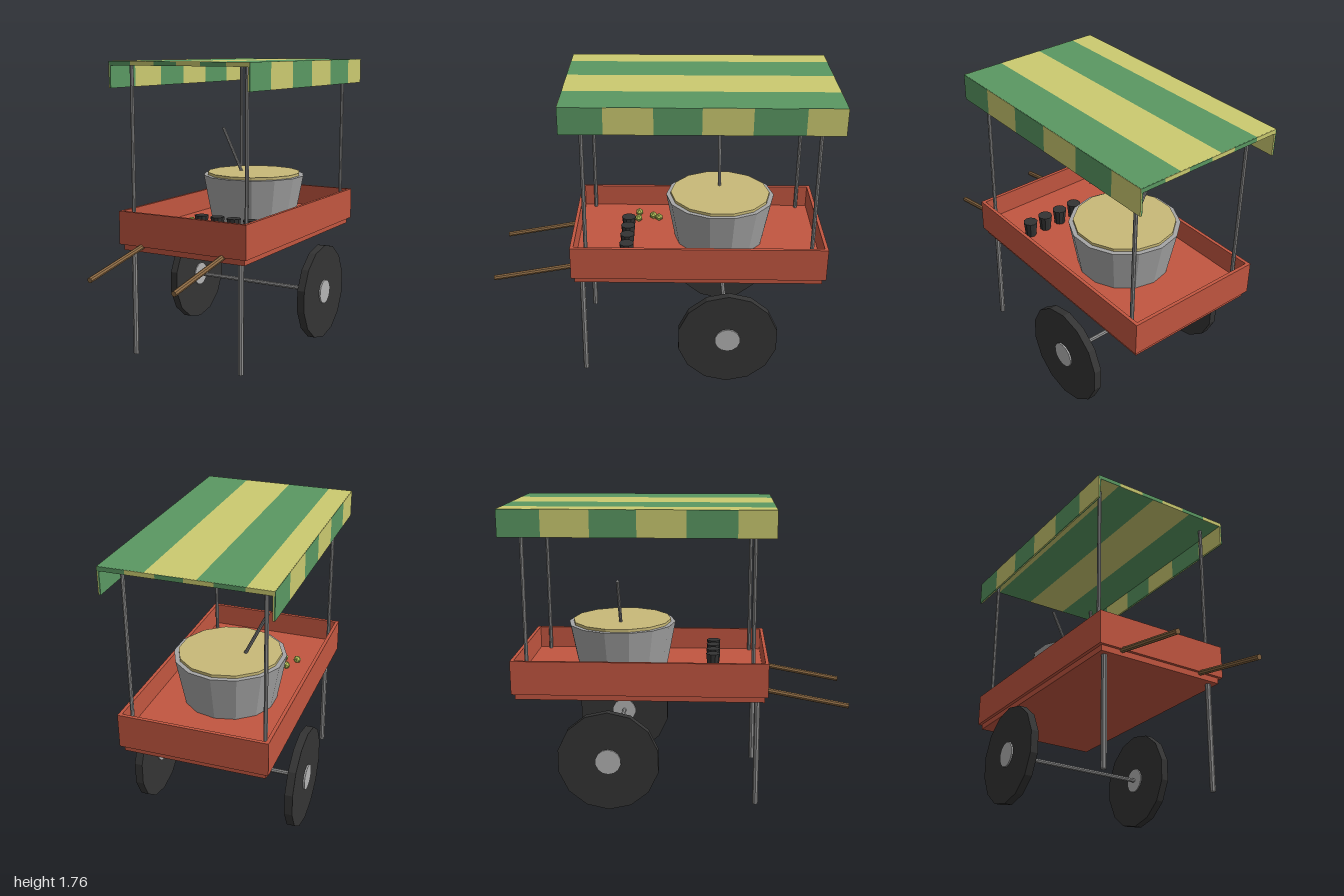
import * as THREE from 'three';

const mat = (name, color) => {
  const m = new THREE.MeshStandardMaterial({ color });
  m.name = name;
  m.flatShading = true;
  return m;
};

export function createModel() {
  const root = new THREE.Group();
  root.name = 'foodCart';

  const red = mat('red paint', 0xc25640);
  const green = mat('awning green', 0x5a9862);
  const yellow = mat('awning yellow', 0xcbca70);
  const steel = mat('steel', 0x919191);
  const potMetal = mat('pot metal', 0xa6a6a6);
  const hubMetal = mat('hub metal', 0xb4b4b4);
  const dark = mat('black rubber', 0x343434);
  const wood = mat('wood', 0x8c6a44);
  const lidColor = mat('lid straw', 0xc8b978);
  const lime = mat('lime', 0xb9c55c);

  const add = (name, geo, material, parent = root) => {
    const m = new THREE.Mesh(geo, material);
    m.name = name;
    parent.add(m);
    return m;
  };
  // Box given by its min and max corners
  const box = (name, material, [x0, y0, z0], [x1, y1, z1], parent) => {
    const g = new THREE.BoxGeometry(x1 - x0, y1 - y0, z1 - z0);
    g.translate((x0 + x1) / 2, (y0 + y1) / 2, (z0 + z1) / 2);
    return add(name, g, material, parent);
  };
  // Straight rod between two points
  const rod = (name, material, a, b, r, sides = 8) => {
    const p = new THREE.Vector3(...a), q = new THREE.Vector3(...b);
    const dir = q.clone().sub(p);
    const m = add(name, new THREE.CylinderGeometry(r, r, dir.length(), sides), material);
    m.position.copy(p).add(q).multiplyScalar(0.5);
    m.quaternion.setFromUnitVectors(new THREE.Vector3(0, 1, 0), dir.normalize());
    return m;
  };

  // Tray: floor slab and four walls
  box('trayFloor', red, [-0.408, 0.65, -0.953], [0.408, 0.75, 0.498]);
  for (const s of [-1, 1]) {
    const xs = [s * 0.408, s * 0.428].sort((a, b) => a - b);
    box('traySideWall', red, [xs[0], 0.685, -0.972], [xs[1], 0.885, 0.516]);
  }
  box('trayFrontWall', red, [-0.408, 0.685, 0.496], [0.408, 0.885, 0.516]);
  box('trayBackWall', red, [-0.408, 0.685, -0.972], [0.408, 0.885, -0.952]);

  // Canopy top with lengthwise stripes
  const canopy = new THREE.Group();
  canopy.name = 'canopy';
  root.add(canopy);
  const topX = [-0.46, -0.32, -0.067, 0.208, 0.46];
  for (let i = 0; i < 4; i++) {
    box('canopyStripe', i % 2 ? green : yellow,
      [topX[i], 1.735, -0.997], [topX[i + 1], 1.76, 0.539], canopy);
  }
  // Striped front and back edges, running opposite ways
  const edgeX = [-0.46, -0.31, -0.15, 0, 0.156, 0.316, 0.46];
  for (let i = 0; i < 6; i++) {
    const m = i % 2 ? yellow : green;
    box('canopyFrontEdge', m, [edgeX[i], 1.735, 0.539], [edgeX[i + 1], 1.7595, 0.542], canopy);
    box('canopyBackEdge', m, [-edgeX[i + 1], 1.735, -1], [-edgeX[i], 1.7595, -0.997], canopy);
  }
  // Side valances: outer and inner layers carry mirrored stripes
  const sideZ = [0.542, 0.3, 0.03, -0.23, -0.503, -0.785, -1];
  const valance = (lo, hi, flip) => {
    for (let i = 0; i < 6; i++) {
      const z = flip ? [-0.458 - sideZ[i], -0.458 - sideZ[i + 1]] : [sideZ[i + 1], sideZ[i]];
      box('valanceStripe', i % 2 ? yellow : green, [lo, 1.605, z[0]], [hi, 1.759, z[1]], canopy);
    }
  };
  valance(0.456, 0.462, false);
  valance(0.449, 0.456, true);
  valance(-0.462, -0.456, true);
  valance(-0.456, -0.449, false);

  // Posts, legs, handles and wheels on both sides
  for (const s of [-1, 1]) {
    for (const z of [0.427, -0.882]) {
      rod('canopyPost', steel, [s * 0.383, 0.74, z], [s * 0.383, 1.737, z], 0.0115);
    }
    rod('leg', steel, [s * 0.364, 0, 0.455], [s * 0.364, 0.66, 0.455], 0.017);
    rod('handle', wood, [s * 0.273, 0.592, 0.997], [s * 0.273, 0.689, 0.48], 0.016);

    const disc = (name, m, r, x0, x1) => {
      const g = new THREE.CylinderGeometry(r, r, x1 - x0, 14);
      g.rotateY(Math.PI / 2).rotateZ(Math.PI / 2);
      add(name, g, m).position.set(s * (x0 + x1) / 2, 0.302, -0.408);
    };
    disc('wheel', dark, 0.3, 0.44, 0.487);
    disc('wheelHub', hubMetal, 0.076, 0.433, 0.496);
  }
  rod('axle', steel, [-0.44, 0.302, -0.408], [0.44, 0.302, -0.408], 0.014);

  // Cooking pot with lid and ladle
  const pot = add('pot', new THREE.CylinderGeometry(0.326, 0.272, 0.28, 14), potMetal);
  pot.position.set(0, 0.89, -0.363);
  const lid = add('potLid', new THREE.CylinderGeometry(0.299, 0.299, 0.03, 14), lidColor);
  lid.position.set(0, 1.032, -0.363);
  rod('ladle', steel, [-0.07, 1.0, -0.363], [-0.228, 1.32, -0.363], 0.01);

  // Row of cups
  for (let i = 0; i < 4; i++) {
    const cup = add('cup', new THREE.CylinderGeometry(0.043, 0.033, 0.095, 10), dark);
    cup.position.set(-0.054 + i * 0.111, 0.797, 0.195);
  }

  // Limes
  for (const [x, z] of [[-0.26, 0.137], [-0.177, 0.139], [-0.216, 0.047], [-0.19, 0.01]]) {
    add('lime', new THREE.IcosahedronGeometry(0.025, 0), lime).position.set(x, 0.771, z);
  }
  return root;
}
